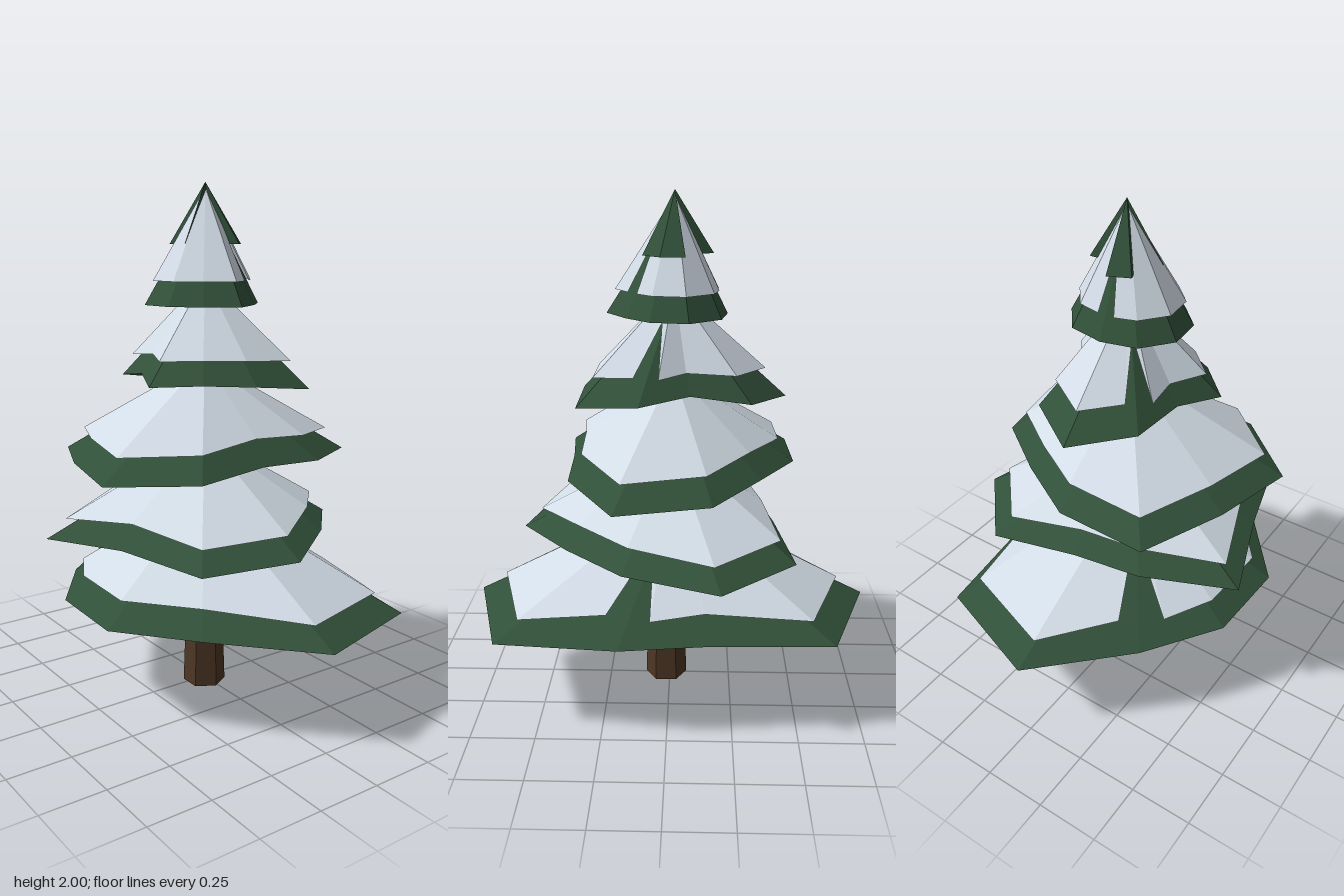
import * as THREE from 'three';

const needles = new THREE.MeshStandardMaterial({ color: 0x315039 });
needles.name = 'pine green';
const snow = new THREE.MeshStandardMaterial({ color: 0xd2dce6, side: THREE.DoubleSide });
snow.name = 'snow';
const bark = new THREE.MeshStandardMaterial({ color: 0x4d3624 });
bark.name = 'bark brown';

// Each tier is an irregular ten-sided cone. Short branches sit higher: "rise" lifts the rim and
// "snowRise" the snow edge by how far a branch falls short of the longest one.
// "gaps" are the corners where the snow is split open.
const tiers = [
  { base: 0.385, top: 0.78, rise: 0.08, snowEdge: 0.455, snowRise: 0.18, shrink: 0.87, gaps: [0, 6],
    reach: [0.57, 0.8, 0.78, 0.57, 0.585, 0.57, 0.58, 0.79, 0.78, 0.53] },
  { base: 0.66, top: 1.0, rise: 0.17, snowEdge: 0.735, snowRise: 0.25, shrink: 0.88, gaps: [],
    reach: [0.52, 0.48, 0.59, 0.63, 0.5, 0.635, 0.46, 0.42, 0.595, 0.635] },
  { base: 0.94, top: 1.3, rise: 0.15, snowEdge: 1.03, snowRise: 0.18, shrink: 0.87, gaps: [],
    reach: [0.6, 0.46, 0.38, 0.51, 0.595, 0.52, 0.6, 0.49, 0.43, 0.53] },
  { base: 1.225, top: 1.62, rise: 0.3, snowEdge: 1.335, snowRise: 0.12, shrink: 0.82, gaps: [0, 6],
    reach: [0.34, 0.42, 0.33, 0.3, 0.335, 0.25, 0.345, 0.45, 0.38, 0.26] },
  { base: 1.545, top: 1.95, rise: 0, snowEdge: 1.635, snowRise: 0, shrink: 0.86, gaps: [1, 7],
    reach: [0.22, 0.2, 0.24, 0.2, 0.22, 0.235, 0.23, 0.22, 0.24, 0.245] },
];

// Point on a ring; angles in degrees from +x towards +z
function polar(degrees, radius, y) {
  const a = THREE.MathUtils.degToRad(degrees);
  return new THREE.Vector3(radius * Math.cos(a), y, radius * Math.sin(a));
}

// Angle of each of the ten corners
const corner = (k) => 18 + 36 * k;

// The tree leans slightly towards its tip
const axis = (y) => new THREE.Vector3(0.01 * y, y, -0.01 * y);

// Faceted fan from an apex to a closed rim, with an optional underside
function fan(apex, rim, under) {
  const points = [];
  rim.forEach((p, i) => {
    const next = rim[(i + 1) % rim.length];
    points.push(apex, next, p);
    if (under) points.push(under, p, next);
  });
  const geometry = new THREE.BufferGeometry().setFromPoints(points);
  geometry.computeVertexNormals();
  return geometry;
}

function addMesh(parent, name, geometry, material) {
  const mesh = new THREE.Mesh(geometry, material);
  mesh.name = name;
  parent.add(mesh);
  return mesh;
}

// Green cone with its snow blanket lying just above it
function addTier(tree, tier, index) {
  const longest = Math.max(...tier.reach);
  const snowTop = axis(tier.top + 0.03);
  const rim = tier.reach.map((r, k) => polar(corner(k), r, tier.base + tier.rise * (longest - r)));

  // Snow edge, with a narrow notch running up the slope at each gap
  const edge = tier.reach.flatMap((r, k) => {
    const a = corner(k);
    const y = tier.snowEdge + tier.snowRise * (longest - r);
    const radius = r * tier.shrink;
    if (!tier.gaps.includes(k)) return [polar(a, radius, y)];
    const notch = polar(a, radius, y).lerp(snowTop, 0.6);
    return [polar(a - 11, radius, y), notch, polar(a + 9, radius, y)];
  });

  const group = new THREE.Group();
  group.name = `tier${index + 1}`;
  addMesh(group, 'branches', fan(axis(tier.top), rim, axis(tier.base + 0.02)), needles);
  addMesh(group, 'snowBlanket', fan(snowTop, edge), snow);
  tree.add(group);
}

export function createModel() {
  const tree = new THREE.Group();
  tree.name = 'snowyPine';

  // Six-sided tapered trunk
  const trunkShape = new THREE.CylinderGeometry(0.07, 0.085, 0.45, 6).toNonIndexed();
  trunkShape.computeVertexNormals();
  const trunk = addMesh(tree, 'trunk', trunkShape, bark);
  trunk.position.set(-0.01, 0.225, 0.015);

  tiers.forEach((tier, i) => addTier(tree, tier, i));

  // Lobed green tip, its notches sinking into the snow
  const lobes = [0.15, 0.14, 0.04, 0.05, 0.12, 0.05, 0.14, 0.15, 0.05, 0.15];
  const tipRim = lobes.map((r, k) => polar(corner(k), r, 1.77).add(new THREE.Vector3(0.01, 0, -0.015)));
  addMesh(tree, 'treeTip', fan(axis(2), tipRim, axis(1.8)), needles);

  return tree;
}
